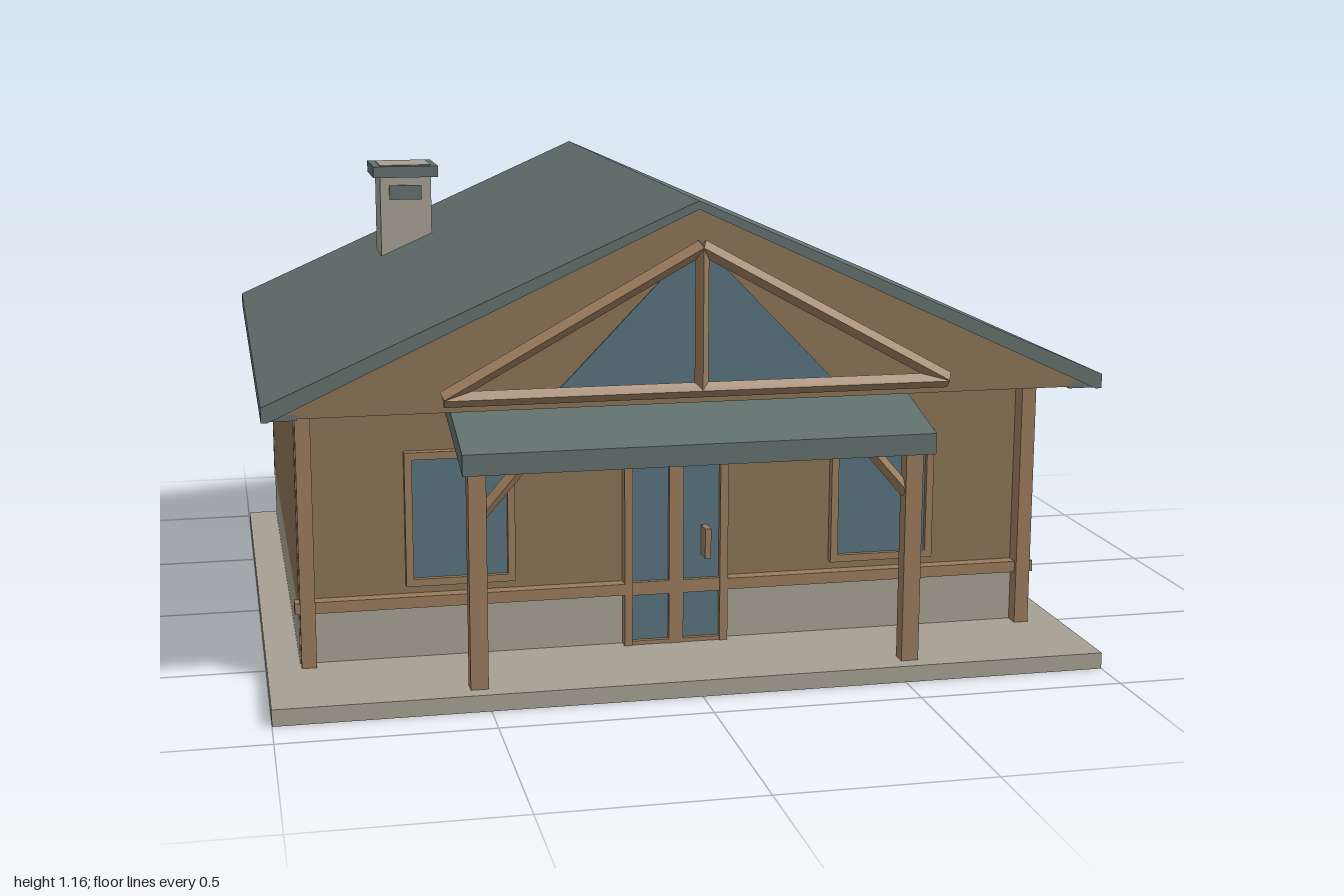
import * as THREE from 'three';

const mat = (color) => new THREE.MeshStandardMaterial({ color, flatShading: true });
const M = {
  roof: mat(0x62706d), wall: mat(0x8b7355), timber: mat(0x9a7b5c),
  stone: mat(0xa5a092), glass: mat(0x57727c),
};

export function createModel() {
  const house = new THREE.Group();
  house.name = 'cabin';

  const add = (name, geometry, material, parent = house) => {
    const mesh = new THREE.Mesh(geometry, material);
    mesh.name = name;
    parent.add(mesh);
    return mesh;
  };
  // Box given by its lower and upper limits on each axis
  const box = (name, m, x0, x1, y0, y1, z0, z1, parent) => {
    const mesh = add(name, new THREE.BoxGeometry(x1 - x0, y1 - y0, z1 - z0), m, parent);
    mesh.position.set((x0 + x1) / 2, (y0 + y1) / 2, (z0 + z1) / 2);
    return mesh;
  };
  // Outline in x,y pushed along z from z0 to z1
  const prism = (name, m, points, z0, z1) => {
    const shape = new THREE.Shape(points.map(([x, y]) => new THREE.Vector2(x, y)));
    const g = new THREE.ExtrudeGeometry(shape, { depth: z1 - z0, bevelEnabled: false });
    return add(name, g.translate(0, 0, z0), m);
  };
  // Four-sided bar between two points in the x,y plane, at depth z
  const bar = (name, r, [ax, ay], [bx, by], z) => {
    const dir = new THREE.Vector3(bx - ax, by - ay, 0);
    const mesh = add(name, new THREE.CylinderGeometry(r, r, dir.length(), 4), M.timber);
    mesh.position.set((ax + bx) / 2, (ay + by) / 2, z);
    mesh.quaternion.setFromUnitVectors(new THREE.Vector3(0, 1, 0), dir.normalize());
    return mesh;
  };
  // Framed window facing +z, with its origin at the centre of its base on the wall
  const windowUnit = (name, w, h, depth, t = 0.018) => {
    const g = new THREE.Group();
    g.name = name;
    const a = w / 2;
    box('windowGlass', M.glass, -a + t, a - t, t, h - t, -0.005, depth * 0.4, g);
    for (const s of [-1, 1]) {
      const c = s * (a - t / 2);
      box('windowJamb', M.timber, c - t / 2, c + t / 2, 0, h, -0.005, depth, g);
    }
    box('windowSill', M.timber, -a, a, 0, t, -0.005, depth, g);
    box('windowHead', M.timber, -a, a, h - t, h, -0.005, depth, g);
    house.add(g);
    return g;
  };

  // Ground slab, plinth and walls
  box('slab', M.stone, -1, 1, 0, 0.04, -0.89, 0.89);
  box('plinth', M.stone, -0.92, 0.92, 0.04, 0.17, -0.85, 0.58);
  box('walls', M.wall, -0.92, 0.92, 0.17, 0.7, -0.855, 0.573);

  // Roof shell, gable infill and soffits
  prism('roof', M.roof, [[-1, 0.685], [-0.985, 0.685], [0, 1.14], [0.985, 0.685],
    [1, 0.685], [1, 0.72], [0, 1.16], [-1, 0.72]], -0.885, 0.82);
  prism('gable', M.wall, [[-0.955, 0.7], [0.955, 0.7], [0, 1.141]], -0.875, 0.812);
  for (const s of [-1, 1]) {
    const x = s * 0.955;
    box('eaveSoffit', M.roof, x - 0.035, x + 0.035, 0.686, 0.7, -0.88, 0.812);
  }
  box('backSoffit', M.roof, -0.92, 0.92, 0.69, 0.7, -0.88, -0.85);
  box('frontSoffit', M.wall, -0.92, 0.92, 0.69, 0.7, 0.57, 0.812);

  // Gable glazing
  prism('gableWindow', M.glass, [[-0.325, 0.735], [0.325, 0.735], [0, 1.07]], 0.8, 0.816);

  // Decorative truss in front of the gable
  const R = 0.018, Z = 0.852;
  bar('trussChord', R, [-0.595, 0.728], [0.595, 0.728], Z);
  bar('trussKingPost', R * 0.9, [0, 0.728], [0, 1.06], Z);
  for (const s of [-1, 1]) bar('trussRafter', R, [s * 0.595, 0.73], [0, 1.058], Z);

  // Front timber frame
  box('frontTopRail', M.timber, -0.92, 0.92, 0.68, 0.7, 0.57, 0.61);
  for (const s of [-1, 1]) {
    const x = s * 0.9;
    box('cornerPost', M.timber, x - 0.018, x + 0.018, 0.04, 0.69, 0.57, 0.618);
    const mid = s * 0.53;
    box('frontLowerRail', M.timber, mid - 0.4, mid + 0.4, 0.17, 0.198, 0.57, 0.606);
    windowUnit('frontWindow', 0.265, 0.33, 0.022).position.set(s * 0.53, 0.22, 0.573);
  }

  // Windows on the left wall
  for (const z of [0.2, -0.48]) {
    const w = windowUnit('sideWindow', 0.33, 0.335, 0.033, 0.021);
    w.position.set(0.92, 0.22, z);
    w.rotation.y = Math.PI / 2;
  }

  // Double door
  box('doorGlass', M.glass, -0.115, 0.115, 0.045, 0.54, 0.57, 0.59);
  for (const s of [-1, 1]) {
    const x = s * 0.12;
    box('doorJamb', M.timber, x - 0.01, x + 0.01, 0.04, 0.55, 0.57, 0.606);
  }
  box('doorMullion', M.timber, -0.018, 0.018, 0.04, 0.55, 0.57, 0.604);
  for (const [y0, y1] of [[0.04, 0.05], [0.167, 0.2], [0.53, 0.55]])
    box('doorRail', M.timber, -0.13, 0.13, y0, y1, 0.57, 0.602);
  box('doorHandle', M.timber, 0.065, 0.08, 0.26, 0.335, 0.59, 0.635);

  // Porch canopy: outline in z,y turned to run along x
  const canopy = prism('porchRoof', M.roof, [[0.57, 0.64], [0.89, 0.558], [0.89, 0.608],
    [0.61, 0.68], [0.57, 0.69]], -0.56, 0.56);
  canopy.rotation.y = -Math.PI / 2;

  // Porch posts and braces
  for (const s of [-1, 1]) {
    const x = s * 0.522;
    box('porchPost', M.timber, x - 0.021, x + 0.021, 0.04, 0.572, 0.81, 0.85);
    bar('porchBrace', 0.016, [s * 0.51, 0.455], [s * 0.415, 0.565], 0.83);
  }

  // Battens and rails on the back wall
  for (let i = 0; i < 6; i++) {
    const x = -0.91 + i * 0.364;
    box('backBatten', M.timber, x - 0.012, x + 0.012, 0.165, 0.685, -0.869, -0.845);
  }
  box('backTopRail', M.timber, -0.92, 0.92, 0.67, 0.69, -0.863, -0.85);
  box('backBottomRail', M.timber, -0.92, 0.92, 0.165, 0.182, -0.863, -0.85);

  // Chimney
  box('chimney', M.stone, -0.62, -0.478, 0.8, 1.141, -0.56, -0.4);
  box('chimneyCap', M.roof, -0.64, -0.46, 1.108, 1.139, -0.58, -0.38);
  for (const z of [-0.56, -0.4])
    box('chimneyVent', M.roof, -0.595, -0.505, 1.045, 1.085, z - 0.005, z + 0.005);

  return house;
}
